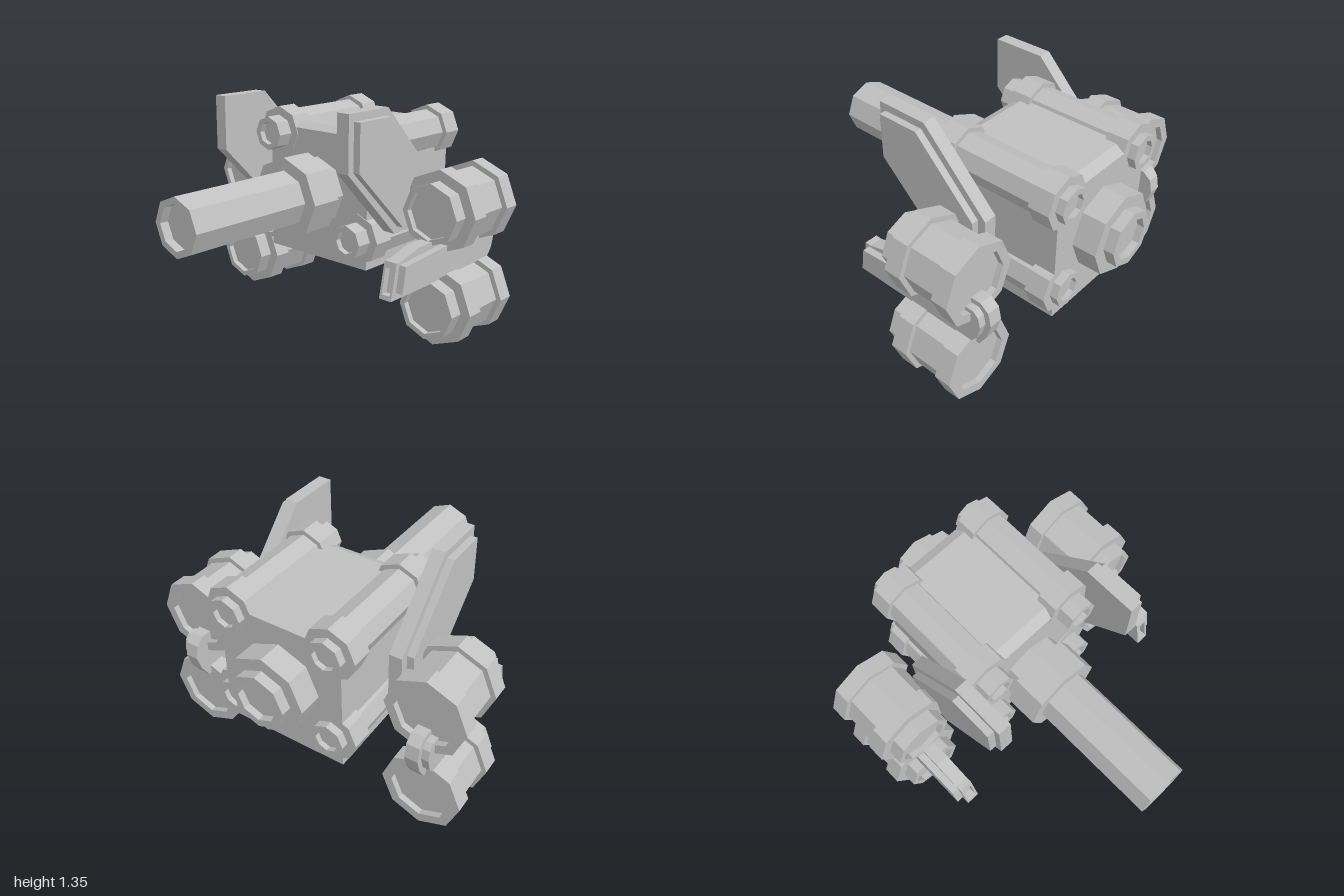
import * as THREE from 'three';

// Faceted normals for every part
function facet(geo) {
  const g = geo.index ? geo.toNonIndexed() : geo;
  g.computeVertexNormals();
  return g;
}

// Eight-sided barrel along z from [radius, z] steps, back to front
function barrel(steps, x, y) {
  const pts = steps.map(([r, z]) => new THREE.Vector2(r, z));
  const g = new THREE.LatheGeometry(pts, 8);
  g.rotateX(Math.PI / 2);
  g.translate(x, y, 0);
  return facet(g);
}

// Side profile of [z, y] points, extruded across x0..x1
function slab(points, x0, x1) {
  const shape = new THREE.Shape(points.map(([z, y]) => new THREE.Vector2(z, y)));
  const g = new THREE.ExtrudeGeometry(shape, { depth: x1 - x0, bevelEnabled: false });
  g.rotateY(-Math.PI / 2);
  g.translate(x1, 0, 0);
  return facet(g);
}

// Rectangular frame with a sloping front, closing the blade tip
function tipFrame(x0, x1) {
  const rect = (C, a, b, c, d) => {
    const p = new C();
    p.moveTo(a, c); p.lineTo(b, c); p.lineTo(b, d); p.lineTo(a, d); p.closePath();
    return p;
  };
  const shape = rect(THREE.Shape, x0, x1, 0.4, 0.6);
  shape.holes.push(rect(THREE.Path, x0 + 0.013, x1 - 0.013, 0.425, 0.565));
  const g = new THREE.ExtrudeGeometry(shape, { depth: 0.04, bevelEnabled: false });
  const p = g.attributes.position;
  for (let i = 0; i < p.count; i++) {
    p.setZ(i, p.getZ(i) + 0.195 - 0.2 * (p.getY(i) - 0.4));
  }
  return facet(g);
}

export function createModel() {
  const model = new THREE.Group();
  const grey = new THREE.MeshStandardMaterial({ color: 0xc0c0c0 });
  grey.name = 'grey metal';
  const add = (name, geo) => {
    const m = new THREE.Mesh(geo, grey);
    m.name = name;
    model.add(m);
  };

  // Central hull, with its top edges sloped at front and back
  add('hull', slab([
    [-0.04, 0.4], [-0.04, 1.16], [-0.1, 1.19], [-0.74, 1.19], [-0.8, 1.16], [-0.8, 0.4],
  ], -0.375, 0.375));

  // Main gun with collars, running through the hull
  add('mainGun', barrel([
    [0, -0.96], [0.12, -0.96], [0.12, -1], [0.163, -1], [0.163, -0.94], [0.236, -0.94],
    [0.236, -0.79], [0.2, -0.79], [0.2, 0.04], [0.236, 0.04], [0.236, 0.235],
    [0.163, 0.235], [0.163, 1], [0.125, 1], [0.125, 0.95], [0, 0.95],
  ], 0, 0.81));

  // Corner rods with flanges and hollow end nuts
  const rod = [
    [0, -0.815], [0.068, -0.815], [0.068, -0.845], [0.1, -0.845], [0.1, -0.8], [0.152, -0.8],
    [0.152, -0.675], [0.125, -0.675], [0.125, -0.16], [0.152, -0.16], [0.152, -0.035],
    [0.1, -0.035], [0.1, 0.06], [0.068, 0.06], [0.068, 0.025], [0, 0.025],
  ];

  // Side pods with two raised bands
  const pod = [
    [0, -0.585], [0.178, -0.585], [0.178, -0.62], [0.236, -0.62], [0.236, -0.52],
    [0.205, -0.52], [0.205, -0.305], [0.236, -0.305], [0.236, -0.2], [0.175, -0.2],
    [0.175, -0.115], [0.143, -0.115], [0.143, -0.15], [0, -0.15],
  ];

  // Tall fin and its raised outer plate
  const fin = [
    [0.28, 1.035], [0.28, 1.35], [-0.04, 1.35], [-0.45, 0.93], [-0.45, 0.63], [-0.125, 0.63],
  ];
  const finPlate = [
    [0.24, 1.04], [0.24, 1.307], [-0.02, 1.307], [-0.4, 0.92], [-0.4, 0.67], [-0.145, 0.67],
  ];

  // Blade between the pods, ending in a rounded hook at the back
  const blade = [
    [0.195, 0.4], [0.155, 0.6], [0, 0.64], [-0.2, 0.64], [-0.6, 0.69], [-0.65, 0.69],
    [-0.7, 0.65], [-0.717, 0.57], [-0.69, 0.48], [-0.64, 0.4],
  ];
  const bladePlate = [
    [0.195, 0.44], [0.17, 0.585], [-0.2, 0.61], [-0.6, 0.66], [-0.64, 0.66],
    [-0.67, 0.63], [-0.682, 0.57], [-0.66, 0.49], [-0.62, 0.44],
  ];

  for (const s of [1, -1]) {
    const side = s > 0 ? 'left' : 'right';
    const span = (a, b) => (s > 0 ? [a, b] : [-b, -a]);
    add(side + 'UpperRod', barrel(rod, s * 0.305, 1.12));
    add(side + 'LowerRod', barrel(rod, s * 0.305, 0.575));
    add(side + 'UpperPod', barrel(pod, s * 0.741, 0.785));
    add(side + 'LowerPod', barrel(pod, s * 0.741, 0.24));
    add(side + 'Fin', slab(fin, ...span(0.43, 0.508)));
    add(side + 'FinPlate', slab(finPlate, ...span(0.508, 0.55)));
    add(side + 'Blade', slab(blade, ...span(0.69, 0.768)));
    add(side + 'BladePlate', slab(bladePlate, ...span(0.768, 0.81)));
    add(side + 'BladeTip', tipFrame(...span(0.69, 0.768)));
  }
  return model;
}
